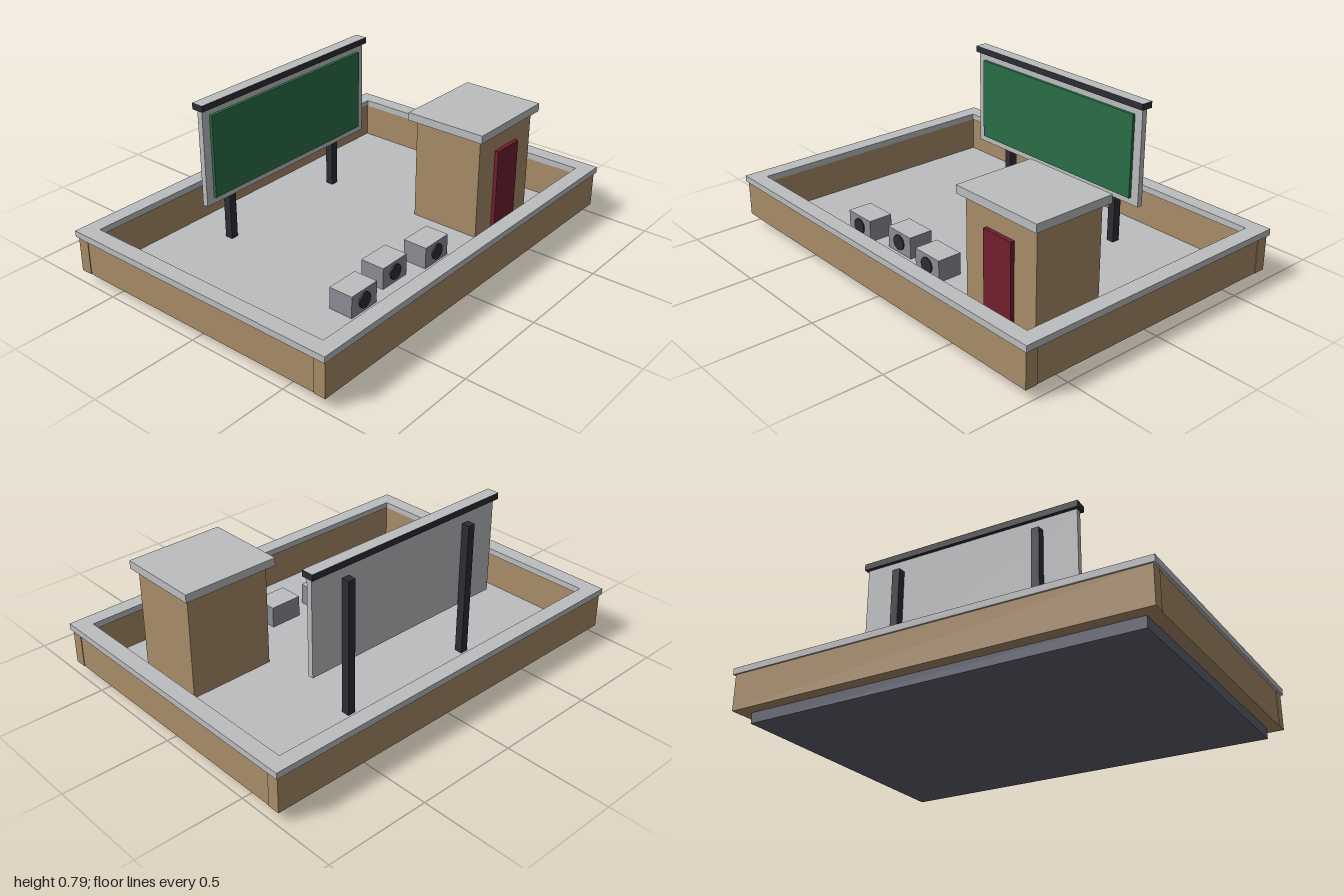
import * as THREE from 'three';

const mat = (name, color) => {
  const m = new THREE.MeshStandardMaterial({ color });
  m.name = name;
  return m;
};

export function createModel() {
  const model = new THREE.Group();
  model.name = 'rooftop';
  const concrete = mat('light concrete', 0xbcbdbf);
  const tan = mat('tan wall', 0xa98d69);
  const slate = mat('slate', 0x5f6170);
  const metal = mat('grey metal', 0x8c8d97);
  const dark = mat('dark steel', 0x2c2d35);
  const green = mat('green panel', 0x2a6e46);
  const red = mat('red door', 0x711f2e);

  // box from its limits; an optional second material paints the top face
  const box = (name, [x0, x1], [y0, y1], [z0, z1], side, top = side) => {
    const g = new THREE.BoxGeometry(x1 - x0, y1 - y0, z1 - z0);
    const m = new THREE.Mesh(g, top === side ? side : [side, side, top, side, side, side]);
    m.position.set((x0 + x1) / 2, (y0 + y1) / 2, (z0 + z1) / 2);
    m.name = name;
    model.add(m);
    return m;
  };

  // roof deck
  box('roofDeck', [-0.93, 0.93], [0, 0.05], [-0.65, 0.65], slate, concrete);

  // parapet walls
  for (const s of [-1, 1]) {
    const span = (a, b) => (s > 0 ? [a, b] : [-b, -a]);
    box('parapetLong', [-0.99, 0.99], [0.05, 0.22], span(0.65, 0.708), tan);
    box('parapetShort', span(0.93, 0.987), [0.05, 0.22], [-0.65, 0.65], tan);
  }

  // coping: one rectangular ring on top of the parapet
  const ring = new THREE.Shape();
  ring.moveTo(-1, -0.716).lineTo(1, -0.716).lineTo(1, 0.716).lineTo(-1, 0.716).closePath();
  const hole = new THREE.Path();
  hole.moveTo(-0.924, -0.643).lineTo(-0.924, 0.643).lineTo(0.924, 0.643).lineTo(0.924, -0.643).closePath();
  ring.holes.push(hole);
  const copingGeo = new THREE.ExtrudeGeometry(ring, { depth: 0.03, bevelEnabled: false });
  copingGeo.rotateX(-Math.PI / 2);
  const coping = new THREE.Mesh(copingGeo, concrete);
  coping.position.y = 0.22;
  coping.name = 'coping';
  model.add(coping);

  // stair hut
  box('hutWalls', [0.355, 0.775], [0.05, 0.548], [0.11, 0.46], tan);
  box('hutRoof', [0.325, 0.8], [0.548, 0.587], [0.081, 0.487], concrete);
  box('hutDoor', [0.482, 0.647], [0.05, 0.45], [0.46, 0.479], red);

  // billboard
  box('boardFrame', [-0.537, 0.537], [0.295, 0.757], [-0.397, -0.37], concrete);
  box('boardPanel', [-0.495, 0.495], [0.328, 0.724], [-0.37, -0.356], green);
  box('boardCap', [-0.548, 0.548], [0.757, 0.787], [-0.415, -0.356], dark, concrete);
  for (const x of [-0.356, 0.356]) {
    box('boardPost', [x - 0.019, x + 0.019], [0.05, 0.7], [-0.436, -0.397], dark);
  }

  // air units with a round fan on the front
  for (const [x, z] of [[-0.441, 0.387], [-0.186, 0.349], [0.067, 0.387]]) {
    box('airUnit', [x - 0.082, x + 0.082], [0.05, 0.155], [z - 0.06, z + 0.06], metal, concrete);
    const fan = new THREE.Mesh(new THREE.CylinderGeometry(0.037, 0.037, 0.008, 20), dark);
    fan.rotation.x = Math.PI / 2;
    fan.position.set(x, 0.104, z + 0.063);
    fan.name = 'fan';
    model.add(fan);
  }

  return model;
}
